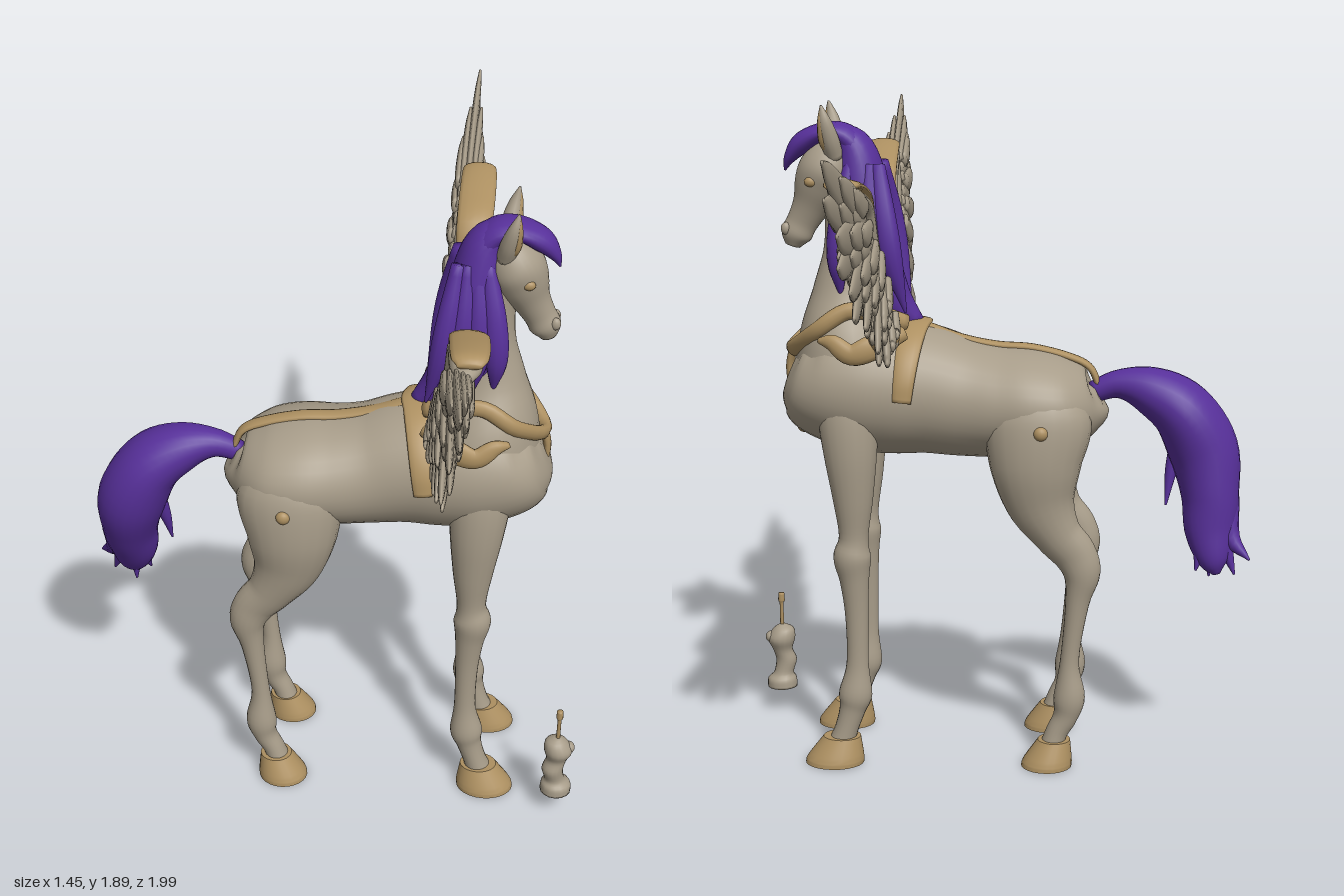
import * as THREE from 'three';
import { toCreasedNormals } from 'three/addons/utils/BufferGeometryUtils.js';

const material = (name, color) => Object.assign(new THREE.MeshStandardMaterial({ color }), { name });
const X = new THREE.Vector3(1, 0, 0), Z = new THREE.Vector3(0, 0, 1);

// Smooth skin over elliptical sections [x, y, z, radius across, radius along side axis].
// flat keeps every section level.
function loft(pts, { side = Z, sides = 20, per = 5, flat = false } = {}) {
  const path = new THREE.CatmullRomCurve3(pts.map(p => new THREE.Vector3(p[0], p[1], p[2])), false, 'catmullrom');
  const radii = new THREE.CatmullRomCurve3(pts.map(p => new THREE.Vector3(p[3], p[4] ?? p[3], 0)), false, 'catmullrom');
  const n = (pts.length - 1) * per, pos = [], index = [];
  for (let i = 0; i <= n; i++) {
    const c = path.getPoint(i / n), r = radii.getPoint(i / n);
    const t = flat ? new THREE.Vector3(0, 1, 0) : path.getTangent(i / n);
    const u = side.clone().cross(t).normalize(), s = t.clone().cross(u).normalize();
    for (let j = 0; j < sides; j++) {
      const a = j / sides * Math.PI * 2;
      const p = c.clone().addScaledVector(u, Math.max(r.x, 0.002) * Math.cos(a))
        .addScaledVector(s, Math.max(r.y, 0.002) * Math.sin(a));
      pos.push(p.x, p.y, p.z);
      if (i < n) {
        const k = i * sides + j, l = i * sides + (j + 1) % sides;
        index.push(k, l, l + sides, k, l + sides, k + sides);
      }
    }
  }
  // End caps
  for (const i of [0, n]) {
    const c = path.getPoint(i / n), m = pos.length / 3;
    pos.push(c.x, c.y, c.z);
    for (let j = 0; j < sides; j++) {
      const k = i * sides + j, l = i * sides + (j + 1) % sides;
      i ? index.push(m, k, l) : index.push(m, l, k);
    }
  }
  const g = new THREE.BufferGeometry();
  g.setAttribute('position', new THREE.Float32BufferAttribute(pos, 3));
  g.setIndex(index);
  g.computeVertexNormals();
  return g;
}

export function createModel() {
  const model = new THREE.Group();
  model.name = 'wingedHorse';
  const coat = material('coat', 0xa79c89), tan = material('tan', 0xad9061), purple = material('purple', 0x57309a);
  const add = (name, geo, mat, parent = model) => {
    const m = new THREE.Mesh(geo, mat);
    m.name = name;
    parent.add(m);
    return m;
  };
  const ball = (name, mat, p, r) => {
    const m = add(name, new THREE.SphereGeometry(1, 18, 12), mat);
    m.position.set(...p);
    m.scale.set(...r);
  };

  // Torso, neck and head
  add('torso', loft([
    [-0.29, 1.07, 0, 0.03, 0.04], [-0.27, 1.06, 0, 0.09, 0.12], [-0.2, 1.05, 0, 0.13, 0.19], [-0.1, 1.05, 0, 0.153, 0.21],
    [0, 1.05, 0, 0.16, 0.195], [0.1, 1.06, 0, 0.17, 0.18], [0.2, 1.08, 0, 0.185, 0.185], [0.3, 1.09, 0, 0.195, 0.2],
    [0.4, 1.1, 0, 0.195, 0.205], [0.5, 1.11, 0, 0.165, 0.185], [0.56, 1.13, 0, 0.115, 0.135], [0.583, 1.14, 0, 0.05, 0.05],
  ], { sides: 36 }), coat);
  add('neck', loft([
    [0.4, 1.12, 0, 0.185, 0.19], [0.42, 1.25, 0, 0.14, 0.155], [0.42, 1.36, 0, 0.1, 0.092], [0.41, 1.47, 0, 0.078, 0.064],
    [0.415, 1.58, 0, 0.066, 0.058], [0.43, 1.68, 0, 0.062, 0.055], [0.45, 1.73, 0, 0.03, 0.03],
  ], { sides: 28 }), coat);
  add('head', loft([
    [0.435, 1.785, 0, 0.025, 0.03], [0.45, 1.75, 0, 0.06, 0.065], [0.473, 1.7, 0, 0.078, 0.083], [0.495, 1.65, 0, 0.073, 0.07],
    [0.52, 1.6, 0, 0.053, 0.05], [0.545, 1.555, 0, 0.044, 0.038], [0.563, 1.52, 0, 0.043, 0.037], [0.573, 1.49, 0, 0.022, 0.022],
  ], { sides: 28 }), coat);

  for (const s of [1, -1]) {
    // Ears, brows and nostrils
    add('ear', loft([[0.445, 1.74, s * 0.045, 0.025], [0.455, 1.79, s * 0.065, 0.026], [0.465, 1.84, s * 0.08, 0.018],
      [0.475, 1.885, s * 0.082, 0.003]], { sides: 12 }), coat);
    add('innerEar', loft([[0.462, 1.76, s * 0.055, 0.012, 0.015], [0.471, 1.79, s * 0.068, 0.015, 0.02],
      [0.476, 1.84, s * 0.081, 0.01, 0.013], [0.477, 1.878, s * 0.082, 0.002]], { sides: 10 }), tan);
    ball('eye', tan, [0.51, 1.675, s * 0.067], [0.018, 0.014, 0.012]);
    ball('nostril', coat, [0.588, 1.54, s * 0.024], [0.014, 0.018, 0.012]);

    // Front leg
    const z = s * 0.14;
    add('frontLeg', loft([
      [0.41, 1.14, s * 0.12, 0.08, 0.05], [0.41, 1.03, s * 0.13, 0.085, 0.066], [0.405, 0.92, s * 0.14, 0.075, 0.062],
      [0.4, 0.79, z, 0.057, 0.052], [0.4, 0.68, z, 0.042, 0.04], [0.405, 0.62, z, 0.054, 0.049], [0.4, 0.55, z, 0.042, 0.039],
      [0.395, 0.44, z, 0.033, 0.03], [0.395, 0.3, z, 0.032, 0.029], [0.402, 0.21, z, 0.048, 0.042],
      [0.412, 0.16, z, 0.038, 0.036], [0.43, 0.1, z, 0.034, 0.036], [0.45, 0.04, z, 0.04, 0.04],
    ]), coat);
    // Hind leg
    add('hindLeg', loft([
      [-0.12, 1.1, s * 0.11, 0.1, 0.07], [-0.12, 1.02, s * 0.125, 0.15, 0.095], [-0.115, 0.9, z, 0.13, 0.09],
      [-0.13, 0.79, z, 0.1, 0.072], [-0.175, 0.7, z, 0.07, 0.056], [-0.225, 0.64, z, 0.062, 0.046],
      [-0.247, 0.58, z, 0.053, 0.044], [-0.235, 0.49, z, 0.034, 0.034], [-0.215, 0.32, z, 0.027, 0.028],
      [-0.215, 0.21, z, 0.045, 0.041], [-0.205, 0.15, z, 0.036, 0.035], [-0.18, 0.1, z, 0.032, 0.034], [-0.16, 0.04, z, 0.035, 0.04],
    ]), coat);
    ball('hipButton', tan, [-0.13, 1.005, s * 0.22], [0.02, 0.02, 0.016]);

    // Hooves
    for (const x of [0.465, -0.15]) {
      const w = x > 0 ? 0.085 : 0.073;
      add('hoof', toCreasedNormals(loft([[x, 0, s * 0.15, 0.067, w], [x - 0.004, 0.02, s * 0.149, 0.064, w * 0.96],
        [x - 0.022, 0.078, s * 0.143, 0.044, w * 0.64]], { side: X, sides: 24, flat: true }), 0.7), tan);
    }
  }

  // Tail with loose locks
  add('tail', loft([
    [-0.27, 1.075, 0, 0.03, 0.025], [-0.35, 1.1, 0, 0.042, 0.045], [-0.44, 1.08, 0, 0.07, 0.08], [-0.53, 1.02, 0, 0.09, 0.11],
    [-0.59, 0.91, 0, 0.1, 0.11], [-0.61, 0.79, -0.03, 0.083, 0.09], [-0.61, 0.69, -0.06, 0.072, 0.065],
    [-0.62, 0.61, -0.09, 0.045, 0.04], [-0.63, 0.57, -0.1, 0.01],
  ], { sides: 24 }), purple);
  for (const [x, y, z] of [[-0.72, 0.62, -0.12], [-0.68, 0.57, -0.1], [-0.61, 0.555, -0.07], [-0.57, 0.58, -0.1]])
    add('tailLock', loft([[(x - 0.61) / 2, 0.78, -0.03, 0.03, 0.04], [(x - 0.61) / 2, 0.68, -0.07, 0.03, 0.035], [x, y, z, 0.003]],
      { sides: 12 }), purple);
  add('tailLock', loft([[-0.53, 0.96, 0.02, 0.03], [-0.5, 0.85, 0, 0.018], [-0.485, 0.75, -0.02, 0.003]], { sides: 12 }), purple);

  // Mane, its side locks and the forelock
  add('mane', loft([
    [0.45, 1.81, 0, 0.025, 0.04], [0.395, 1.76, 0, 0.055, 0.065], [0.375, 1.65, 0, 0.075, 0.09], [0.37, 1.53, 0, 0.085, 0.105],
    [0.355, 1.43, 0, 0.09, 0.1], [0.3, 1.34, 0, 0.065, 0.065], [0.22, 1.27, 0, 0.02, 0.025],
  ], { sides: 24 }), purple);
  for (const s of [1, -1]) for (let i = 0; i < 4; i++)
    add('maneLock', loft([[0.4 - i * 0.025, 1.72, s * 0.05, 0.02], [0.425 - i * 0.04, 1.58, s * 0.088, 0.032, 0.025],
      [0.435 - i * 0.05, 1.46, s * 0.097, 0.03, 0.024], [0.43 - i * 0.06, 1.36 - i * 0.015, s * 0.08, 0.004]], { sides: 12 }), purple);
  add('forelock', loft([
    [0.37, 1.74, 0, 0.04, 0.06], [0.42, 1.795, 0, 0.035, 0.06], [0.48, 1.805, 0, 0.027, 0.058],
    [0.54, 1.775, 0, 0.03, 0.045], [0.575, 1.735, 0, 0.017, 0.025], [0.59, 1.7, 0, 0.003],
  ]), purple);

  // Harness: spine strip, girth, collar and breast strap
  add('spineStrip', loft([[-0.29, 1.095, 0], [-0.262, 1.15, 0], [-0.2, 1.18, 0], [-0.1, 1.204, 0], [0, 1.211, 0], [0.1, 1.231, 0],
    [0.2, 1.266, 0], [0.28, 1.285, 0]].map(p => [...p, 0.01, 0.024]), { sides: 12 }), tan);
  const girth = [];
  for (let i = -6; i <= 6; i++) {
    const a = i / 6 * Math.PI / 2, e = Math.abs(i) / 6;
    girth.push([0.225 + 0.03 * e, 1.083 + 0.195 * Math.cos(a), 0.196 * Math.sin(a), 0.01, 0.045 - 0.018 * e]);
  }
  add('girthStrap', loft(girth, { side: X, sides: 12 }), tan);
  const half = [[0.5, 1.265, 0.12], [0.41, 1.325, 0.125], [0.32, 1.315, 0.11], [0.25, 1.285, 0.07]];
  const collar = [...half.slice().reverse(), [0.58, 1.195, 0], ...half.map(([x, y, z]) => [x, y, -z])];
  add('collar', loft(collar.map(p => [...p, 0.018, 0.024]), { side: new THREE.Vector3(0.5, 0.86, 0), sides: 14 }), tan);
  add('breastStrap', loft([[0.575, 1.21, 0, 0.012, 0.035], [0.589, 1.14, 0, 0.012, 0.024], [0.574, 1.05, 0, 0.012, 0.019],
    [0.545, 0.985, 0, 0.012, 0.015]], { sides: 12 }), tan);
  ball('breastKnob', tan, [0.553, 0.97, 0], [0.02, 0.02, 0.018]);

  // Wings: lift follows the slight forward lean
  const lean = y => 0.29 + 0.12 * (y - 1.25);
  const tips = [[0.99, 1.83], [0.965, 1.74], [0.92, 1.65], [0.89, 1.57], [0.83, 1.5], [0.745, 1.42], [0.65, 1.38],
    [0.56, 1.345], [0.48, 1.285], [0.4, 1.235], [0.32, 1.215], [0.25, 1.225]];
  const roots = new THREE.CatmullRomCurve3([[0.54, 1.67], [0.5, 1.61], [0.42, 1.545], [0.32, 1.5], [0.25, 1.4], [0.19, 1.29]]
    .map(([z, y]) => new THREE.Vector3(0, y, z)));
  for (const s of [1, -1]) {
    const wing = new THREE.Group();
    wing.name = 'wing';
    model.add(wing);
    const limb = (name, pts, mat, dx = 0) => add(name,
      loft(pts.map(([z, y, a, b]) => [lean(y) + dx, y, s * z, a, b]), { side: X, sides: 14 }), mat, wing);
    limb('wingArm', [[0.13, 1.3, 0.03, 0.03], [0.2, 1.42, 0.03, 0.035], [0.285, 1.54, 0.03, 0.04], [0.33, 1.63, 0.03, 0.045],
      [0.42, 1.67, 0.025, 0.045], [0.53, 1.69, 0.026, 0.04], [0.58, 1.69, 0.015, 0.02]], coat, 0.015);
    limb('wingArmTrim', [[0.13, 1.33, 0.014, 0.025], [0.19, 1.45, 0.014, 0.035], [0.27, 1.56, 0.016, 0.04], [0.315, 1.655, 0.018, 0.05],
      [0.42, 1.7, 0.014, 0.052], [0.53, 1.722, 0.016, 0.048], [0.565, 1.715, 0.008, 0.03]], tan, 0.02);
    limb('wingWeb', [[0.17, 1.27, 0.03, 0.02], [0.24, 1.41, 0.045, 0.025], [0.32, 1.51, 0.05, 0.025], [0.42, 1.545, 0.035, 0.022],
      [0.5, 1.61, 0.035, 0.022], [0.55, 1.68, 0.03, 0.02]], coat);
    limb('wingPatch', [[0.5, 1.66, 0.008, 0.02], [0.56, 1.66, 0.022, 0.028], [0.63, 1.67, 0.006, 0.015]], tan, 0.005);
    ball('wingRoot', tan, [0.3, 1.28, s * 0.205], [0.045, 0.06, 0.035]);

    // Flight feathers and two rows of coverts on both faces
    for (const [name, reach, width, offsets] of [['flightFeather', 1, 0.046, [0]], ['longCovert', 0.66, 0.04, [0.016, -0.016]],
      ['shortCovert', 0.4, 0.034, [0.028, -0.028]]])
      for (const dx of offsets) tips.forEach(([tz, ty], i) => {
        const r = roots.getPoint(i / (tips.length - 1));
        const at = (k, sag) => [r.z + (tz - r.z) * k * reach, r.y + (ty - r.y) * k * reach - sag];
        const w = width * (i > 9 ? 0.75 : 1), d = dx + (i % 2 - 0.5) * 0.012;
        limb(name, [[...at(0, 0), w * 0.6, 0.01], [...at(0.4, 0.015), w, 0.012], [...at(0.8, 0.012), w * 0.75, 0.01],
          [...at(1, 0), 0.006, 0.004]], coat, d);
      });

    // Shoulder ornament on the harness
    add('shoulderOrnament', loft([[0.25, 1.27, s * 0.15, 0.02, 0.02], [0.33, 1.24, s * 0.2, 0.035, 0.018],
      [0.39, 1.22, s * 0.208, 0.03, 0.018], [0.44, 1.25, s * 0.2, 0.024, 0.015], [0.48, 1.255, s * 0.185, 0.008, 0.01]],
    { sides: 14 }), tan);
  }

  // Small standing accessory with a stick
  add('accessoryBody', loft([
    [0.675, 0.08, 0.24, 0.046], [0.675, 0.105, 0.24, 0.044], [0.67, 0.125, 0.24, 0.03], [0.662, 0.165, 0.245, 0.032],
    [0.672, 0.2, 0.24, 0.03], [0.675, 0.235, 0.24, 0.042], [0.668, 0.265, 0.24, 0.032], [0.67, 0.28, 0.24, 0.01],
  ], { sides: 16, flat: true, per: 4 }), coat);
  ball('accessoryNub', coat, [0.705, 0.24, 0.235], [0.018, 0.018, 0.02]);
  add('accessoryStick', loft([[0.672, 0.27, 0.24, 0.006], [0.672, 0.345, 0.24, 0.006], [0.672, 0.355, 0.24, 0.01],
    [0.672, 0.38, 0.24, 0.009]], { sides: 10, flat: true }), tan);
  return model;
}
